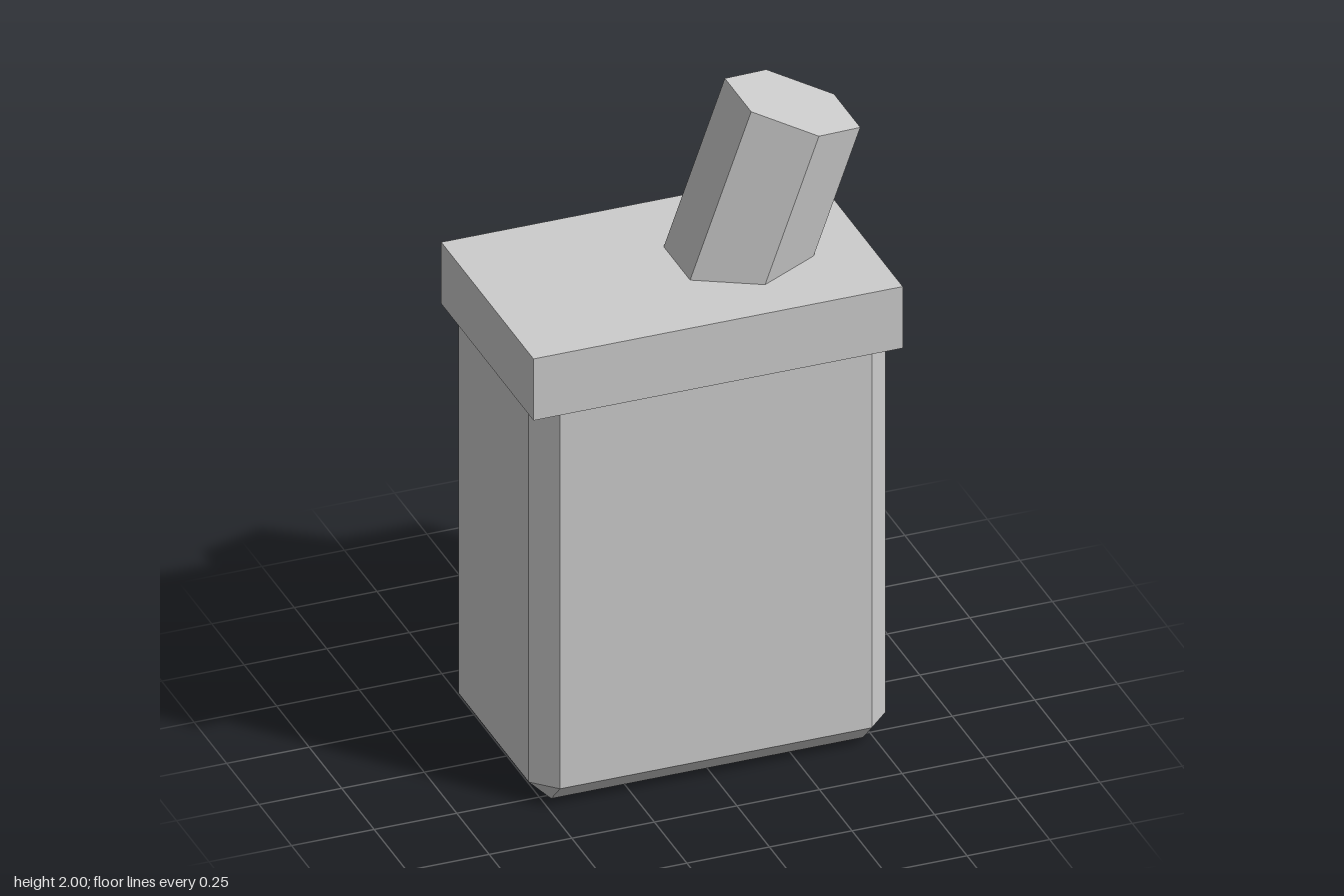
import * as THREE from 'three';
import { ConvexGeometry } from 'three/addons/geometries/ConvexGeometry.js';

export function createModel() {
  const group = new THREE.Group();
  const grey = new THREE.MeshStandardMaterial({ color: 0xcccccc });
  grey.name = 'light grey';

  const add = (name, geometry, x = 0, y = 0, z = 0) => {
    const mesh = new THREE.Mesh(geometry, grey);
    mesh.name = name;
    mesh.position.set(x, y, z);
    group.add(mesh);
    return mesh;
  };

  // Carton body: upright edges and bottom rim bevelled, top tucked into the lid
  const w = 0.54, d = 0.338, bevel = 0.068, top = 1.3;
  const points = [];
  for (const sx of [-1, 1]) {
    for (const sz of [-1, 1]) {
      points.push(new THREE.Vector3(sx * (w - bevel), 0, sz * (d - bevel)));
      for (const y of [bevel, top]) {
        points.push(new THREE.Vector3(sx * w, y, sz * (d - bevel)));
        points.push(new THREE.Vector3(sx * (w - bevel), y, sz * d));
      }
    }
  }
  add('body', new ConvexGeometry(points));

  // Overhanging lid
  add('lid', new THREE.BoxGeometry(1.118, 0.2, 0.71), 0, 1.392, 0);

  // Six-sided spout leaning to the left, its foot sunk into the lid
  const tilt = THREE.MathUtils.degToRad(20);
  const length = 0.57;
  const spoutGeometry = new THREE.CylinderGeometry(0.203, 0.203, length, 6).toNonIndexed();
  spoutGeometry.computeVertexNormals();
  const spout = add('spout', spoutGeometry,
    0.365 - Math.sin(tilt) * length / 2, 1.94 - Math.cos(tilt) * length / 2, 0);
  spout.rotation.z = -tilt;

  return group;
}
